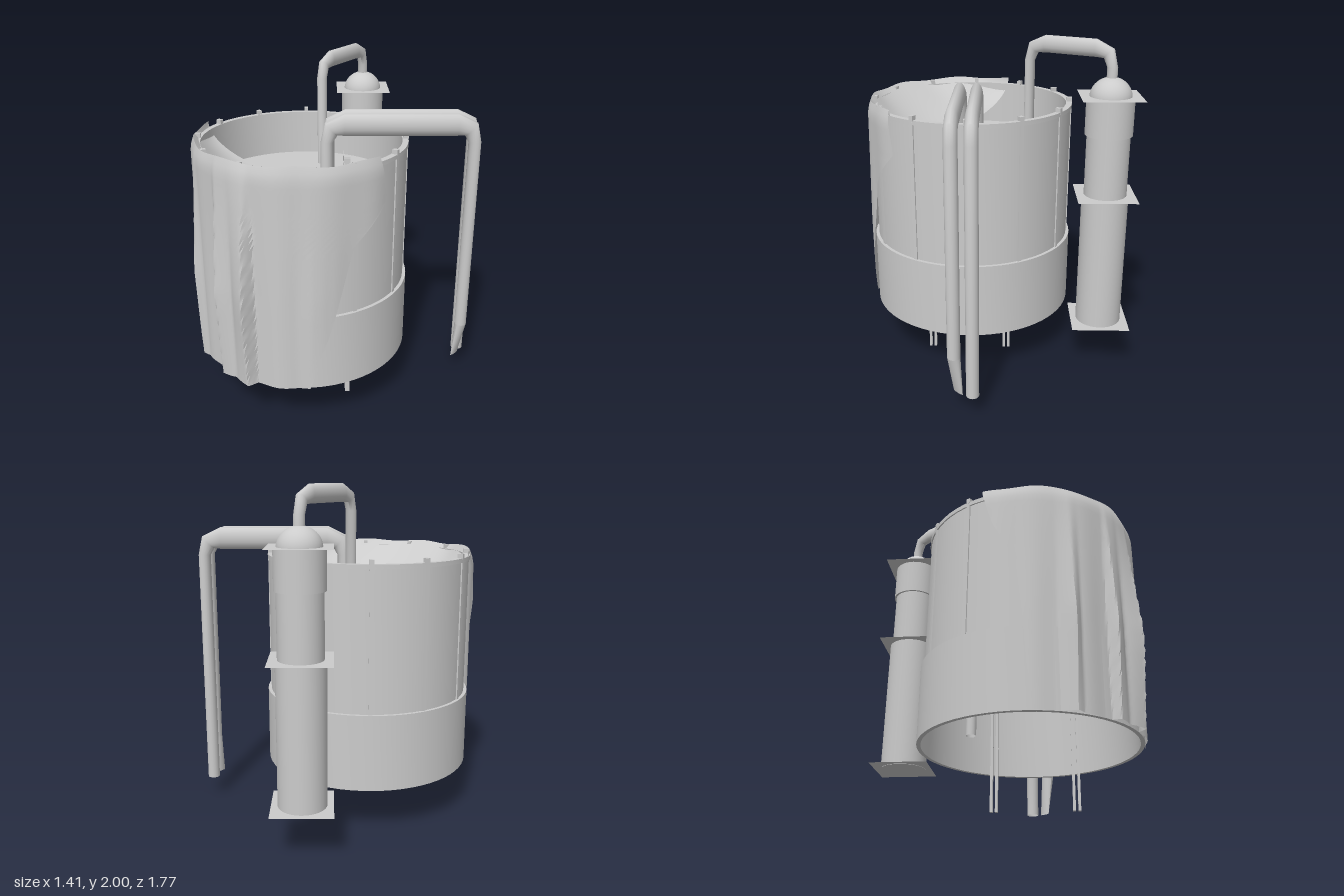
import * as THREE from 'three';
import { toCreasedNormals } from 'three/addons/utils/BufferGeometryUtils.js';

const CX = -0.08, CZ = 0.18, RIM = 1.58;

export function createModel() {
  const model = new THREE.Group();
  const grey = new THREE.MeshStandardMaterial({ color: 0xcccccc, side: THREE.DoubleSide });

  function add(name, geometry, x = 0, y = 0, z = 0, parent = model) {
    const mesh = new THREE.Mesh(geometry, grey);
    mesh.name = name;
    mesh.position.set(x, y, z);
    parent.add(mesh);
    return mesh;
  }

  // Grid surface from a rule giving a point for u, v in 0..1
  function surface(nu, nv, rule) {
    const pos = [], index = [];
    for (let j = 0; j <= nv; j++)
      for (let i = 0; i <= nu; i++) pos.push(...rule(i / nu, j / nv));
    for (let j = 0; j < nv; j++)
      for (let i = 0; i < nu; i++) {
        const a = j * (nu + 1) + i, b = a + 1, c = a + nu + 1, d = c + 1;
        index.push(a, c, b, b, c, d);
      }
    const g = new THREE.BufferGeometry();
    g.setAttribute('position', new THREE.Float32BufferAttribute(pos, 3));
    g.setIndex(index);
    g.computeVertexNormals();
    return g;
  }

  // Tank wall: wide skirt below, thinner wall with a rim flange above
  const profile = [
    [0.605, 0.29], [0.628, 0.29], [0.628, 0.74], [0.608, 0.74], [0.608, 1.555], [0.615, 1.555],
    [0.615, RIM], [0.58, RIM], [0.58, 0.74], [0.605, 0.74], [0.605, 0.29],
  ].map(p => new THREE.Vector2(...p));
  add('tankWall', toCreasedNormals(new THREE.LatheGeometry(profile, 64), 0.6), CX, 0, CZ);

  // Floor disc inside the tank
  const disc = new THREE.CircleGeometry(0.58, 64).rotateX(-Math.PI / 2);
  add('innerDeck', disc, CX, 1.31, CZ);

  // Battens with rim clips every 30 degrees
  const battens = new THREE.Group();
  battens.name = 'battens';
  model.add(battens);
  for (let i = 0; i < 12; i++) {
    const t = THREE.MathUtils.degToRad(-14 - 30 * i), c = Math.cos(t), s = Math.sin(t);
    const b = add('batten', new THREE.BoxGeometry(0.014, 0.83, 0.024), CX + 0.608 * c, 1.155, CZ + 0.608 * s, battens);
    const k = add('rimClip', new THREE.BoxGeometry(0.032, 0.03, 0.024), CX + 0.6 * c, 1.59, CZ + 0.6 * s, battens);
    b.rotation.y = k.rotation.y = -t;
  }

  // Thin diagonal partition and the paired rods that hang along it
  const partition = add('partition', new THREE.BoxGeometry(0.95, 0.5, 0.004), 0.075, 1.09, -0.02);
  partition.rotation.y = -Math.PI / 4;
  for (const [x, z] of [[-0.05, -0.17], [0.285, 0.17]]) {
    const pair = new THREE.Group();
    pair.name = 'rodPair';
    pair.position.set(x, 0, z);
    pair.rotation.y = -Math.PI / 4;
    model.add(pair);
    for (const d of [-0.015, 0.015]) {
      add('rod', new THREE.BoxGeometry(0.016, 1.38, 0.03), d, 0.69, 0, pair);
      add('rodClamp', new THREE.BoxGeometry(0.024, 0.03, 0.04), d, 1.37, 0, pair);
    }
  }

  // Stepped side column with flat square plates and a domed top
  const column = new THREE.Group();
  column.name = 'column';
  column.position.set(-0.37, 0, -0.655);
  model.add(column);
  for (const [r, y0, y1] of [[0.137, 0.29, 1.11], [0.125, 1.11, 1.47], [0.137, 1.47, 1.69]])
    add('columnSection', new THREE.CylinderGeometry(r, r, y1 - y0, 32), 0, (y0 + y1) / 2, 0, column);
  for (const y of [0.292, 1.11, 1.692]) {
    const plate = new THREE.PlaneGeometry(0.345, 0.345).rotateX(-Math.PI / 2).rotateY(Math.PI / 4);
    add('columnPlate', plate, 0, y, 0, column);
  }
  const dome = new THREE.SphereGeometry(0.12, 32, 12, 0, 2 * Math.PI, 0, Math.PI / 2);
  add('dome', dome, 0, 1.685, 0, column).scale.y = 0.95;

  // Arched pipe from (x, z) a to b; the level run is taller than it is wide
  function pipe(name, a, b, yA, yB, yTop, r, h) {
    const dx = b[0] - a[0], dz = b[1] - a[1], len = Math.hypot(dx, dz);
    const ux = dx / len, uz = dz / len, c = 0.1, m = (r + h) / 2, q = Math.PI / 4;
    const rings = [
      [0, yA, 0, r], [0, yTop - c, 0, r], [0.024, yTop - 0.025, q, m], [c, yTop, 2 * q, h],
      [len - c, yTop, 2 * q, h], [len - 0.024, yTop - 0.025, 3 * q, m], [len, yTop - c, 4 * q, r], [len, yB, 4 * q, r],
    ];
    const g = surface(16, rings.length - 1, (u, v) => {
      const [s, y, tilt, half] = rings[Math.round(v * (rings.length - 1))];
      const across = Math.cos(u * 2 * Math.PI) * r, out = Math.sin(u * 2 * Math.PI) * half;
      const along = s - Math.cos(tilt) * out;
      return [a[0] + ux * along - uz * across, y + Math.sin(tilt) * out, a[1] + uz * along + ux * across];
    });
    add(name, toCreasedNormals(g, 0.9));
  }
  pipe('columnPipe', [-0.37, -0.655], [-0.245, -0.15], 1.75, 0.41, 1.95, 0.03, 0.05);
  pipe('longPipe', [0.0, 0.045], [0.6, -0.55], 0.75, 0.13, 1.672, 0.037, 0.065);
  pipe('cutPipe', [0.065, 0.12], [0.667, -0.472], 0.75, 0.37, 1.672, 0.037, 0.065);

  // Slanted cut at the foot of the second pipe
  const tip = new THREE.CylinderGeometry(0.037, 0.037, 0.24, 16, 1, true);
  const tp = tip.attributes.position;
  for (let i = 0; i < tp.count; i++)
    if (tp.getY(i) < 0) tp.setX(i, -0.03 + tp.getX(i) * 0.2);
  tip.computeVertexNormals();
  add('cutPipeTip', tip, 0.667, 0.25, -0.472);

  // Draped cover: side edges as [height, right angle, left angle]
  const edges = [[0.29, 41, 132], [0.74, 28, 135], [1.14, 18, 139], [1.36, -2, 150], [1.61, 2, 157]];
  function edgeAngles(y) {
    let i = 0;
    while (i < edges.length - 2 && y > edges[i + 1][0]) i++;
    const p = edges[i], q = edges[i + 1], k = (y - p[0]) / (q[0] - p[0]);
    return [1, 2].map(n => THREE.MathUtils.degToRad(p[n] + (q[n] - p[n]) * k));
  }
  // Folds as [angle, depth, steep side width, soft side width]
  const folds = [[72, 0.085, 3, 10], [90, 0.06, 9, 2], [112, 0.05, 4, 7], [40, 0.02, 9, 7], [148, 0.03, 9, 9]];
  function coverPoint(u, y) {
    const [right, left] = edgeAngles(y), t = right + (left - right) * u, deg = THREE.MathUtils.radToDeg(t);
    const drop = THREE.MathUtils.clamp((1.6 - y) / 0.75, 0, 1);
    let r = 0.635 + 0.006 * Math.sin(deg / 4) * (0.4 + drop);
    for (const [at, depth, steep, soft] of folds) {
      const d = deg - at, w = 1 - Math.abs(d) / (d < 0 ? steep : soft);
      if (w > 0) r += depth * w * drop * (y < 0.74 ? 0.65 + 0.35 * (y - 0.29) / 0.45 : 1);
    }
    const top = Math.max(0, (y - 1.52) / 0.09);
    return [CX + (r - 0.02 * top * top) * Math.cos(t), y + 0.006 * top * Math.sin(deg / 6), CZ + (r - 0.02 * top * top) * Math.sin(t)];
  }
  add('coverSide', toCreasedNormals(surface(110, 36, (u, v) => coverPoint(u, 0.29 + 1.32 * v)), 0.8));

  // Cover top sagging into the tank, ending on a straight chord
  const chordA = coverPoint(0, 1.61), chordB = coverPoint(1, 1.61);
  add('coverTop', surface(60, 16, (u, v) => {
    const p = coverPoint(u, 1.61), k = (1 - Math.cos(Math.PI * u)) / 2;
    const q = chordA.map((n, i) => n + (chordB[i] - n) * k);
    const sag = 0.23 * Math.sin(Math.PI * u) * Math.sin(v * Math.PI / 2);
    return [p[0] + (q[0] - p[0]) * v, p[1] + (q[1] - p[1]) * v - sag, p[2] + (q[2] - p[2]) * v];
  }));

  return model;
}
